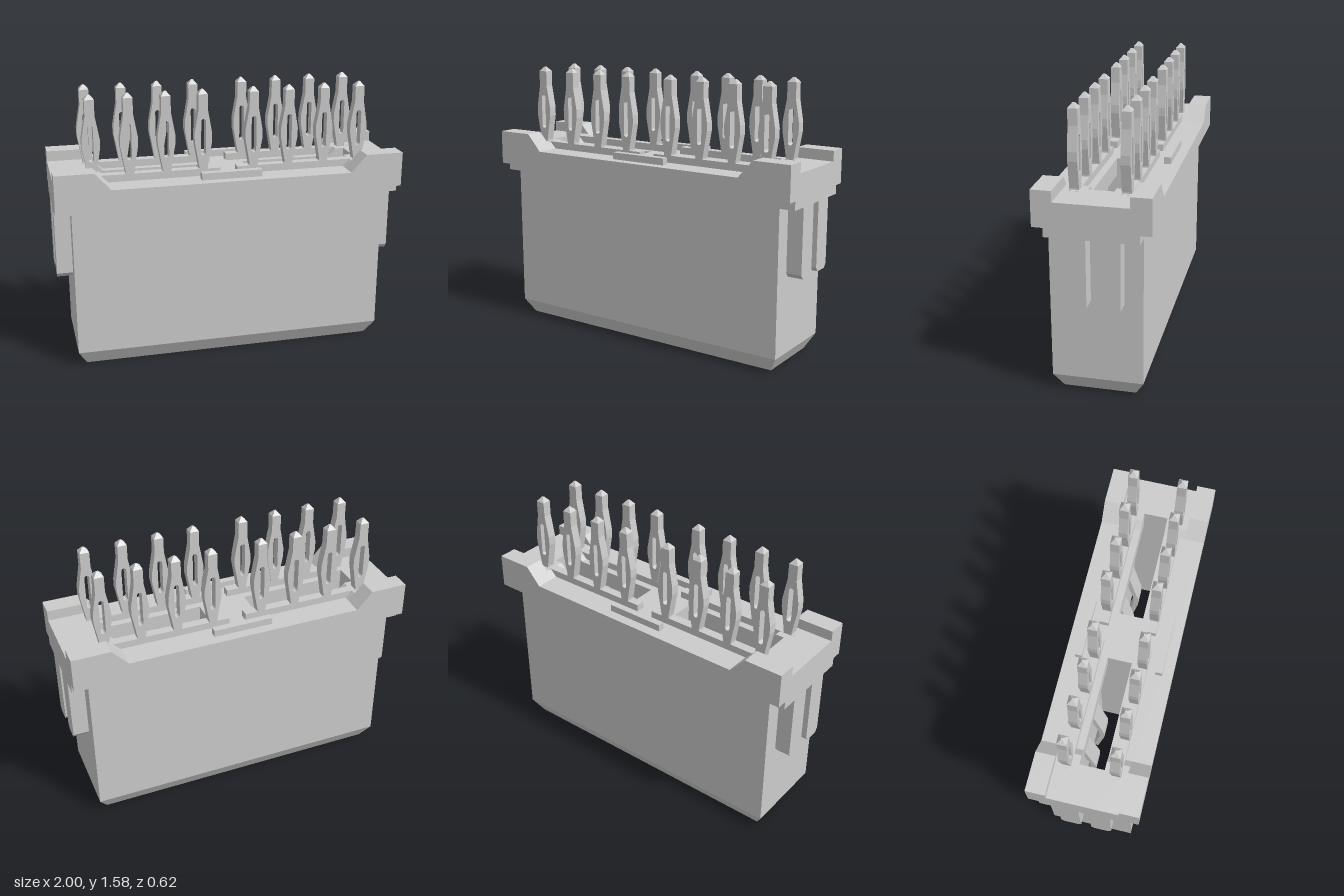
import * as THREE from 'three';

const material = new THREE.MeshStandardMaterial({ color: 0xcccccc, flatShading: true });

function polygon(points) {
  return new THREE.Shape(points.map(([x, y]) => new THREE.Vector2(x, y)));
}

function rectangle(x0, x1, y0, y1) {
  return polygon([[x0, y0], [x1, y0], [x1, y1], [x0, y1]]);
}

// Extrude along z between z0 and z1
function extrudeZ(shape, z0, z1, curveSegments = 6) {
  const g = new THREE.ExtrudeGeometry(shape, { depth: z1 - z0, bevelEnabled: false, curveSegments });
  return g.translate(0, 0, z0);
}

// Extrude a (z, y) profile along x between x0 and x1
function extrudeX(shape, x0, x1) {
  return extrudeZ(shape, -x1, -x0).rotateY(-Math.PI / 2);
}

function add(parent, name, geometry) {
  const mesh = new THREE.Mesh(geometry, material);
  mesh.name = name;
  parent.add(mesh);
  return mesh;
}

// Mirror a half outline (listed from the centre outwards, top side) to both sides
function symmetric(half, bottom) {
  const left = half.map(([x, y]) => [-x, y]);
  return polygon([[-1, bottom], [1, bottom], ...half.slice().reverse(), ...left]);
}

function createHousing() {
  const group = new THREE.Group();
  group.name = 'housing';

  // Hollow shroud: two contact chambers and a centre pocket
  const outline = rectangle(-0.91, 0.91, -0.25, 0.25);
  for (const [a, b] of [[-0.79, -0.14], [-0.1, 0.1], [0.14, 0.79]]) {
    outline.holes.push(rectangle(a, b, -0.125, 0.125));
  }
  const shroud = new THREE.ExtrudeGeometry(outline, { depth: 0.98, steps: 11, bevelEnabled: false });
  shroud.rotateX(-Math.PI / 2);
  // Taper the outer rim at the bottom
  const p = shroud.attributes.position;
  for (let i = 0; i < p.count; i++) {
    if (p.getY(i) < 0.01 && Math.abs(p.getX(i)) > 0.9) {
      p.setX(i, Math.sign(p.getX(i)) * 0.86);
      p.setZ(i, Math.sign(p.getZ(i)) * 0.2);
    }
  }
  shroud.computeVertexNormals();
  add(group, 'shroud', shroud);

  // Flange, built as layers from front to back
  const wall = symmetric([[0.69, 1.08], [0.78, 1.18], [1, 1.18]], 0.98);
  const deck = symmetric([[0.69, 1.08], [0.73, 1.12], [1, 1.12]], 0.98);
  add(group, 'flangeWallFront', extrudeZ(wall, 0.2, 0.31));
  add(group, 'flangeWallBack', extrudeZ(wall, -0.31, -0.2));
  add(group, 'deckFront', extrudeZ(deck, 0.07, 0.2));
  add(group, 'deckBack', extrudeZ(deck, -0.2, -0.07));
  add(group, 'deckBridge', extrudeZ(rectangle(-0.14, 0.14, 0.98, 1.08), -0.07, 0.07));

  for (const s of [-1, 1]) {
    const end = s > 0 ? rectangle(0.78, 1, 0.98, 1.12) : rectangle(-1, -0.78, 0.98, 1.12);
    add(group, 'deckEnd', extrudeZ(end, -0.07, 0.07));

    // Raised pad on the deck
    add(group, 'deckPad', new THREE.BoxGeometry(0.35, 0.04, 0.04)).position.set(0, 1.1, s * 0.232);

    // End ledge and its two hanging ribs
    const x0 = s > 0 ? 0.91 : -1;
    add(group, 'endLedge', extrudeX(rectangle(-0.25, 0.25, 0.93, 0.98), x0, x0 + 0.09));
    for (const z of [-0.09, 0.09]) {
      const rib = polygon([
        [z - 0.04, 0.53], [z + 0.04, 0.53], [z + 0.06, 0.555],
        [z + 0.06, 0.93], [z - 0.06, 0.93], [z - 0.06, 0.555],
      ]);
      add(group, 'endRib', extrudeX(rib, x0, x0 + 0.09));
    }
  }
  return group;
}

// Press-fit pin with an eye and a pointed tip
function pinGeometry() {
  const half = [
    [0.024, 1.07], [0.024, 1.13], [0.036, 1.2], [0.05, 1.28],
    [0.05, 1.33], [0.036, 1.41], [0.027, 1.46], [0.027, 1.55],
  ];
  const shape = polygon([...half, ...half.map(([x, y]) => [-x, y]).reverse()]);
  const eye = new THREE.Path();
  eye.absarc(0, 1.395, 0.014, 0, Math.PI);
  eye.absarc(0, 1.215, 0.014, Math.PI, 2 * Math.PI);
  eye.closePath();
  shape.holes.push(eye);
  return extrudeZ(shape, -0.026, 0.026);
}

// Bowed spring contact profile, (z, y)
function contactGeometry() {
  const path = [[0.11, 0.98], [0.11, 0.72], [0.055, 0.45], [0.055, 0.36], [0.1, 0.12]];
  const inner = path.map(([z, y]) => [z - 0.015, y]);
  const outer = path.map(([z, y]) => [z + 0.015, y]).reverse();
  return extrudeX(polygon([...inner, ...outer]), -0.05, 0.05);
}

export function createModel() {
  const model = new THREE.Group();
  model.name = 'pinConnector';
  model.add(createHousing());

  const pin = pinGeometry();
  const tip = new THREE.CylinderGeometry(0.008, 0.0375, 0.025, 4, 1, false, Math.PI / 4);
  const contact = contactGeometry();

  for (const row of [-1, 1]) {
    const z = row * 0.138;
    for (const side of [-1, 1]) {
      // Pin carrier rail standing on the deck
      add(model, 'pinRail', new THREE.BoxGeometry(0.77, 0.041, 0.052)).position.set(side * 0.435, 1.1005, z);

      [0.147, 0.357, 0.567, 0.777].forEach((offset, i) => {
        const x = side * offset;
        add(model, 'pin', pin).position.set(x, 0, z);
        add(model, 'pinTip', tip).position.set(x, 1.5625, z);
        // Only the two inner positions carry spring contacts
        if (i === 1 || i === 2) {
          const spring = add(model, 'springContact', contact);
          spring.position.x = x;
          if (row < 0) spring.rotation.y = Math.PI;
        }
      });
    }
  }
  return model;
}
